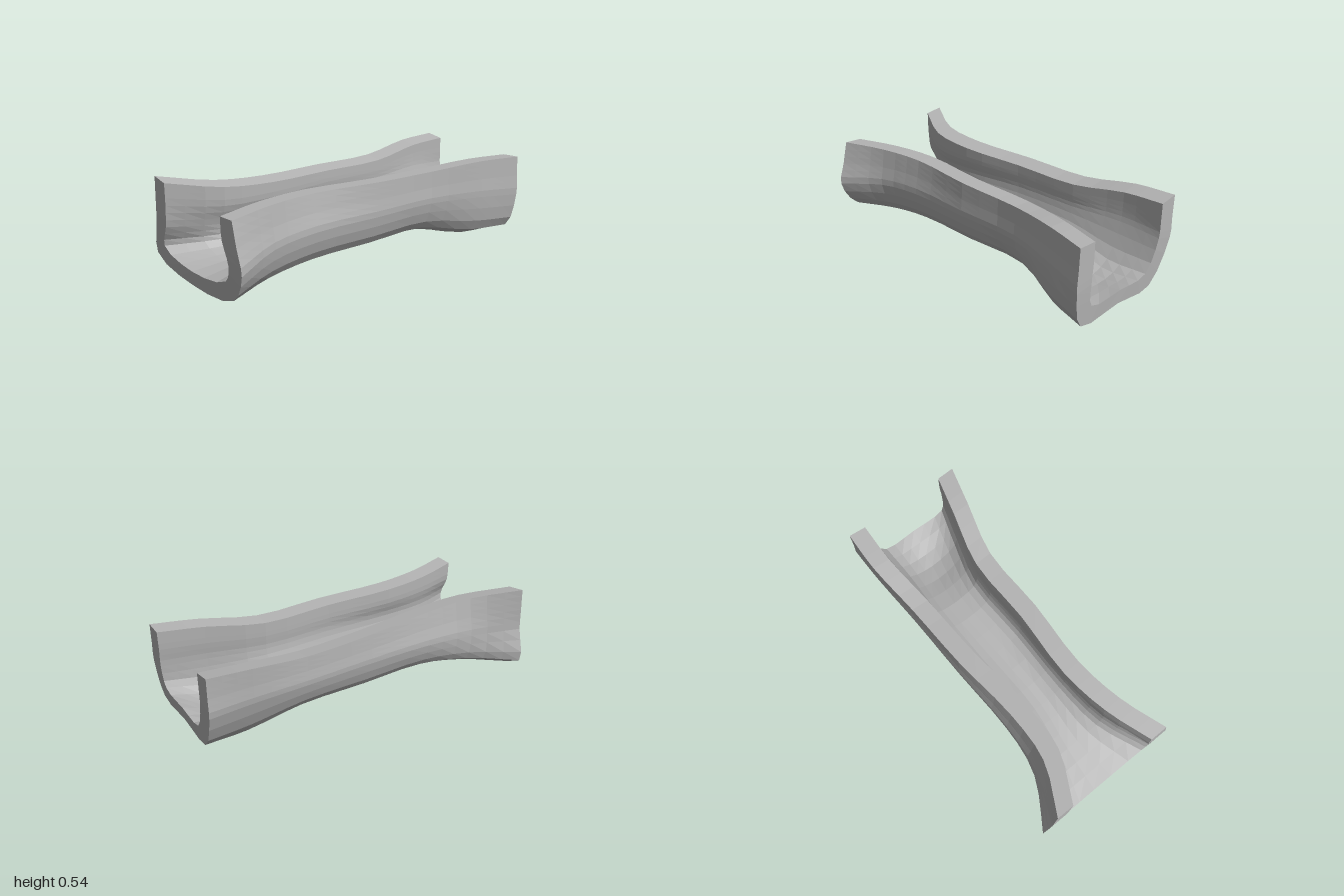
import * as THREE from 'three';

// Outer profile at stations along x: [z, y] from front rim, down under the floor, to back rim
const stations = [
  [-1.0, [[.37, .485], [.435, .22], [.33, .06], [-.08, .008], [-.465, .09], [-.425, .29], [-.41, .545]]],
  [-.72, [[.285, .487], [.315, .26], [.235, .08], [-.05, .037], [-.28, .105], [-.305, .27], [-.265, .505]]],
  [-.42, [[.25, .487], [.285, .28], [.215, .105], [0, .06], [-.2, .12], [-.27, .28], [-.238, .487]]],
  [0, [[.285, .48], [.295, .28], [.225, .11], [0, .08], [-.2, .125], [-.28, .3], [-.27, .48]]],
  [.42, [[.295, .475], [.3, .28], [.225, .11], [0, .082], [-.19, .125], [-.28, .3], [-.28, .478]]],
  [.75, [[.39, .505], [.4, .28], [.34, .06], [.07, .003], [-.16, .06], [-.29, .31], [-.305, .525]]],
  [1.0, [[.465, .51], [.475, .27], [.415, .06], [.12, .062], [-.15, .055], [-.285, .3], [-.293, .542]]],
];

// Mitred inward offset of a profile: thicker at the walls than at the floor
function insetProfile(points) {
  const segmentNormal = (a, b) => new THREE.Vector2(b[1] - a[1], a[0] - b[0]).normalize();
  const last = points.length - 1;
  return points.map((p, i) => {
    if (i === 0) return [p[0] - .107, p[1] - .004];
    if (i === last) return [p[0] + .107, p[1] - .018];
    const after = segmentNormal(p, points[i + 1]);
    const n = segmentNormal(points[i - 1], p).add(after).normalize();
    const thickness = (.08 + .027 * Math.abs(n.x)) / Math.max(n.dot(after), .85);
    return [p[0] + n.x * thickness, p[1] + n.y * thickness];
  });
}

// Add a point to each wall below its rim; lip keeps that point straight under the rim
function addWallPoints(points, lip) {
  const between = (rim, wall) => [
    THREE.MathUtils.lerp(rim[0], wall[0], lip ? .12 : .5),
    THREE.MathUtils.lerp(rim[1], wall[1], .5),
  ];
  const [rim, wall] = points;
  const [backWall, backRim] = points.slice(-2);
  return [rim, between(rim, wall), ...points.slice(1, -1), between(backRim, backWall), backRim];
}

// Smooth a set of profiles along x, then around each cross-section; the floor stops short of the walls
function loftRows(profiles, lengthSteps, aroundSteps) {
  const lines = profiles[0].map((_, k) => new THREE.CatmullRomCurve3(
    profiles.map((p, s) => {
      const [z, y] = p[k];
      return new THREE.Vector3(stations[s][0] * (.98 + .02 * Math.min(1, y / .25)), y, z);
    })
  ).getPoints(lengthSteps));
  return lines[0].map((_, s) =>
    new THREE.CatmullRomCurve3(lines.map((line) => line[s])).getPoints(aroundSteps));
}

function troughGeometry() {
  const lengthSteps = 18, aroundSteps = 24;
  const outer = loftRows(stations.map((s) => addWallPoints(s[1], false)), lengthSteps, aroundSteps);
  const inner = loftRows(stations.map((s) => addWallPoints(insetProfile(s[1]), true)), lengthSteps, aroundSteps);
  const rings = outer.map((row, s) => [...row, ...inner[s].slice().reverse()]);
  const count = rings[0].length;
  const positions = rings.flat().flatMap((p) => [p.x, p.y, p.z]);
  const index = [];
  const quad = (a, b, c, d) => index.push(a, b, c, a, c, d);

  // Outside, rims and inside
  for (let s = 0; s < lengthSteps; s++) {
    for (let i = 0; i < count; i++) {
      const j = (i + 1) % count;
      quad(s * count + i, s * count + j, (s + 1) * count + j, (s + 1) * count + i);
    }
  }
  // End faces
  const end = lengthSteps * count;
  for (let i = 0; i < aroundSteps; i++) {
    const a = i, b = i + 1, c = count - 2 - i, d = count - 1 - i;
    quad(end + a, end + b, end + c, end + d);
    quad(d, c, b, a);
  }

  const geometry = new THREE.BufferGeometry();
  geometry.setAttribute('position', new THREE.Float32BufferAttribute(positions, 3));
  geometry.setIndex(index);
  const faceted = geometry.toNonIndexed();
  faceted.computeVertexNormals();
  return faceted;
}

export function createModel() {
  const group = new THREE.Group();
  group.name = 'openTrough';
  const grey = new THREE.MeshStandardMaterial({ color: 0xb4b4b4 });
  grey.name = 'grey';
  const shell = new THREE.Mesh(troughGeometry(), grey);
  shell.name = 'troughShell';
  group.add(shell);
  return group;
}
